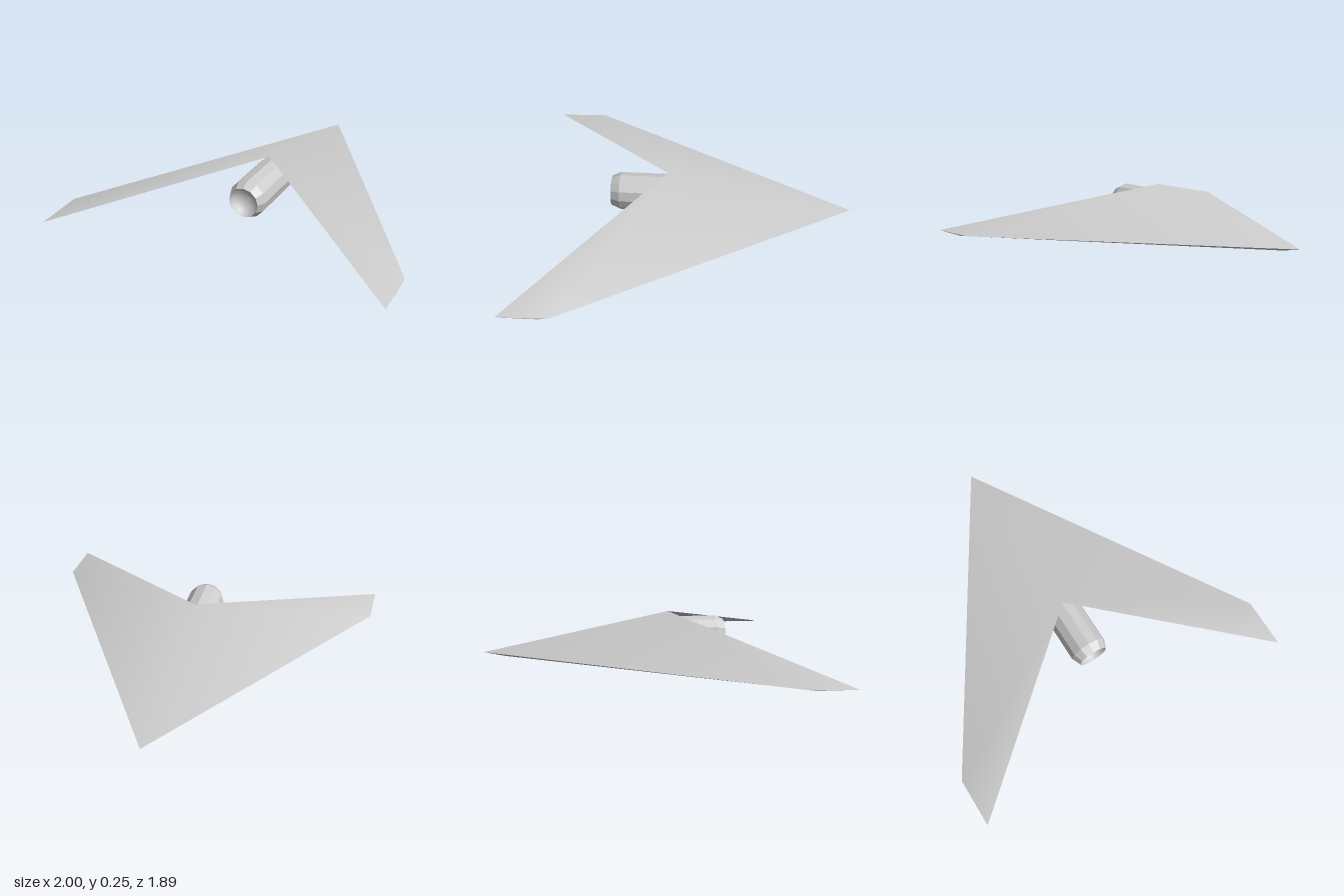
import * as THREE from 'three';

const SIDES = 12;

// Skin from corner points and triangles; each skin is smooth within itself.
function skin(name, points, faces, material) {
  const geometry = new THREE.BufferGeometry();
  geometry.setAttribute('position', new THREE.Float32BufferAttribute(points.flat(), 3));
  geometry.setIndex(faces.flat());
  geometry.computeVertexNormals();
  const mesh = new THREE.Mesh(geometry, material);
  mesh.name = name;
  return mesh;
}

// Surface turned about the z axis, from [radius, z] pairs.
function turned(name, profile, material) {
  const geometry = new THREE.LatheGeometry(profile.map(([r, z]) => new THREE.Vector2(r, z)), SIDES);
  geometry.rotateX(Math.PI / 2);
  const mesh = new THREE.Mesh(geometry, material);
  mesh.name = name;
  return mesh;
}

export function createModel() {
  const model = new THREE.Group();
  model.name = 'sweptWingGlider';
  const smooth = new THREE.MeshStandardMaterial({ color: 0xcccccc, side: THREE.DoubleSide });
  const flat = new THREE.MeshStandardMaterial({ color: 0xcccccc, side: THREE.DoubleSide, flatShading: true });

  // Wing corners: centre line, then one tip and its mirror image
  const nose = [0, 0.04, -0.945];
  const noseUnder = [0, 0.015, -0.83];
  const notch = [0, 0.255, 0.13];
  const tipFront = [1, 0.01, 0.66];
  const tipUnder = [1, 0.002, 0.72];
  const tipRear = [1, 0, 0.945];
  const mirror = ([x, y, z]) => [-x, y, z];

  const wing = new THREE.Group();
  wing.name = 'wing';

  // Upper skin, rounded in shading over the centre ridge
  wing.add(skin('upperSkin',
    [nose, notch, tipFront, tipRear, mirror(tipFront), mirror(tipRear)],
    [[0, 1, 2], [1, 3, 2], [0, 4, 1], [1, 4, 5]], smooth));

  // Hollow lower skin meeting the upper one along the trailing edge
  wing.add(skin('lowerSkin',
    [noseUnder, notch, tipUnder, tipRear, mirror(tipUnder), mirror(tipRear)],
    [[0, 2, 1], [1, 2, 3], [0, 1, 4], [1, 5, 4]], smooth));

  // Bevel below each leading edge, and the thin wing tip
  for (const side of [1, -1]) {
    const at = side > 0 ? (p) => p : mirror;
    const wind = (faces) => (side > 0 ? faces : faces.map(([a, b, c]) => [a, c, b]));
    const label = side > 0 ? 'left' : 'right';
    wing.add(skin(label + 'LeadingBevel', [nose, tipFront, tipUnder, noseUnder].map(at),
      wind([[0, 1, 2], [0, 2, 3]]), flat));
    wing.add(skin(label + 'TipEdge', [tipFront, tipRear, tipUnder].map(at),
      wind([[0, 1, 2]]), flat));
  }
  model.add(wing);

  // Engine pod: faceted shell with a closed back, and a bowl in the open end
  const engine = new THREE.Group();
  engine.name = 'engine';
  engine.add(turned('engineShell', [[0, 0.05], [0.11, 0.05], [0.11, 0.41], [0.088, 0.462]], flat));
  const bowl = [];
  for (let i = 0; i <= 6; i++) {
    const a = (i / 6) * Math.PI / 2;
    bowl.push([0.088 * Math.cos(a), 0.462 - 0.08 * Math.sin(a)]);
  }
  engine.add(turned('engineBowl', bowl, smooth));
  engine.position.y = 0.113;
  model.add(engine);

  return model;
}
